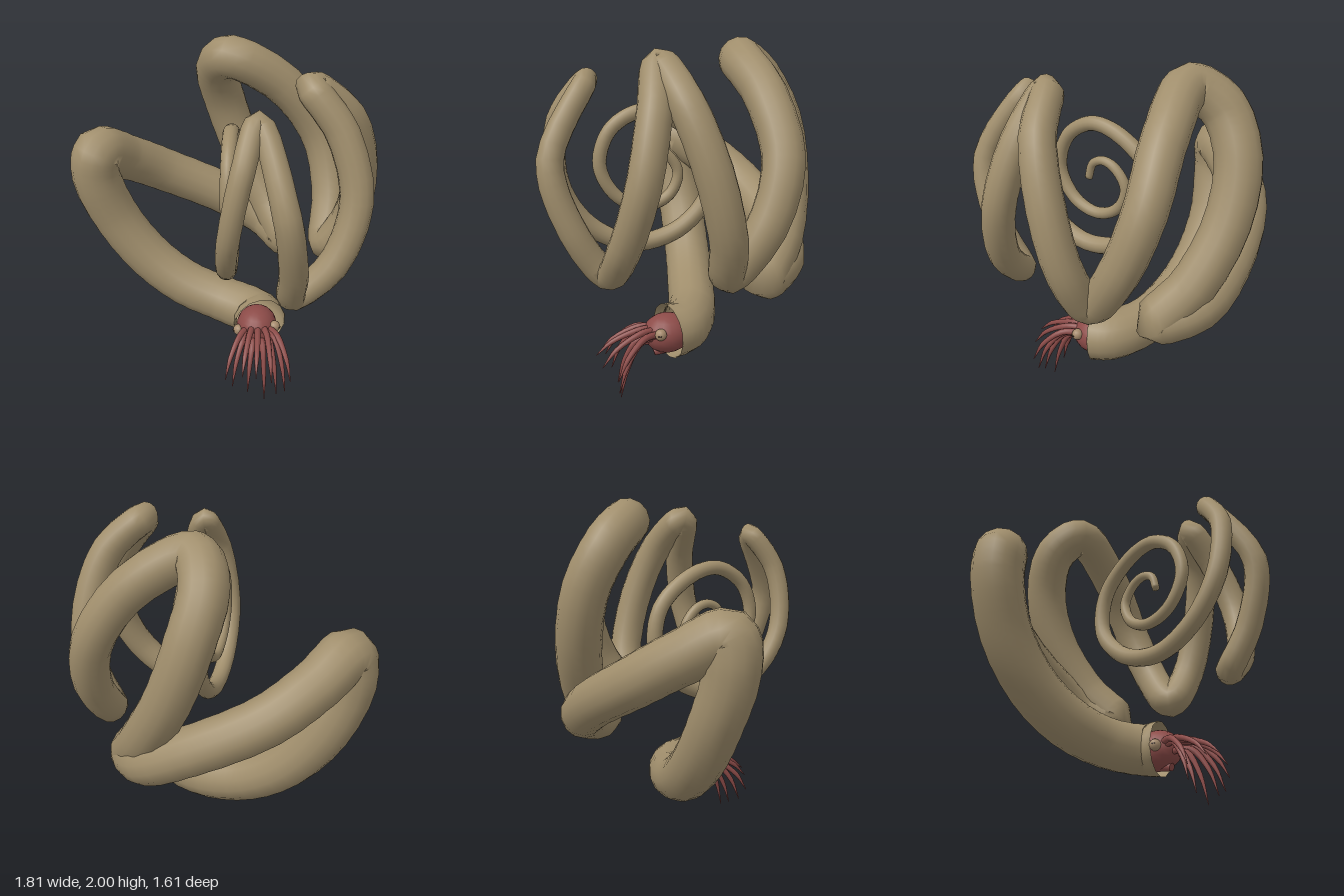
import * as THREE from 'three';

const mat = (name, color, side = THREE.FrontSide) => {
  const m = new THREE.MeshStandardMaterial({ color, side });
  m.name = name;
  return m;
};

// Tapering tube swept along points [x, y, z, radius]; rib adds faint growth ridges.
function taperedTube(points, steps, sides, rib = 0) {
  const curve = new THREE.CatmullRomCurve3(points.map(p => new THREE.Vector3(p[0], p[1], p[2])));
  const last = points.length - 1, count = last * steps;
  const pos = [], index = [];
  let normal = new THREE.Vector3(0, 1, 0);
  for (let i = 0; i <= count; i++) {
    const t = i / count, k = Math.min(Math.floor(t * last), last - 1);
    const c = curve.getPoint(t), tan = curve.getTangent(t);
    const r = THREE.MathUtils.lerp(points[k][3], points[k + 1][3], t * last - k)
      * (1 + (i % 2 ? -rib : rib));
    // Carry the previous normal along so the tube does not twist
    normal = normal.clone().addScaledVector(tan, -normal.dot(tan)).normalize();
    const side = tan.clone().cross(normal);
    for (let j = 0; j < sides; j++) {
      const a = j / sides * Math.PI * 2;
      const v = c.clone().addScaledVector(normal, r * Math.cos(a)).addScaledVector(side, r * Math.sin(a));
      pos.push(v.x, v.y, v.z);
      if (i < count) {
        const p = i * sides + j, q = i * sides + (j + 1) % sides;
        index.push(p, q, p + sides, q, q + sides, p + sides);
      }
    }
  }
  // Close the far end
  const end = curve.getPoint(1), tip = pos.length / 3;
  pos.push(end.x, end.y, end.z);
  for (let j = 0; j < sides; j++) index.push(count * sides + j, count * sides + (j + 1) % sides, tip);
  const g = new THREE.BufferGeometry();
  g.setAttribute('position', new THREE.Float32BufferAttribute(pos, 3));
  g.setIndex(index);
  g.computeVertexNormals();
  return g;
}

export function createModel() {
  const model = new THREE.Group();
  const shellMat = mat('shell tan', 0xa08e6c, THREE.DoubleSide);
  const fleshMat = mat('flesh red', 0x8c4b48);
  const eyeMat = mat('eye tan', 0xa58a6c);
  const pupilMat = mat('pupil dark', 0x4a3a30);
  const add = (name, geo, material, parent = model) => {
    const m = new THREE.Mesh(geo, material);
    m.name = name;
    parent.add(m);
    return m;
  };

  // Meandering whorls from the opening inwards: x, y, z, radius
  const whorls = [
    [0.26, 0.36, 0.085, 0.16], [0.23, 0.365, -0.01, 0.15], [0.03, 0.385, -0.12, 0.145],
    [-0.22, 0.46, -0.18, 0.145], [-0.45, 0.62, -0.22, 0.145], [-0.65, 0.88, -0.23, 0.145],
    [-0.76, 1.18, -0.2, 0.148], [-0.74, 1.33, -0.21, 0.15], [-0.6, 1.23, -0.39, 0.142],
    [-0.38, 1.08, -0.55, 0.14], [0, 0.89, -0.63, 0.138], [0.27, 0.75, -0.59, 0.135],
    [0.41, 0.69, -0.43, 0.13], [0.29, 0.88, -0.57, 0.13], [0.11, 1.2, -0.67, 0.13],
    [-0.01, 1.53, -0.66, 0.13], [-0.05, 1.77, -0.54, 0.13], [0.04, 1.875, -0.395, 0.125],
    [0.36, 1.7, -0.43, 0.12], [0.59, 1.38, -0.45, 0.115], [0.66, 1.05, -0.34, 0.11],
    [0.64, 0.805, -0.15, 0.1], [0.77, 1.03, -0.1, 0.1], [0.79, 1.38, -0.01, 0.1],
    [0.69, 1.7, 0.1, 0.095], [0.49, 1.875, 0.185, 0.085], [0.66, 1.65, 0.25, 0.09],
    [0.75, 1.3, 0.33, 0.09], [0.64, 0.96, 0.41, 0.087], [0.44, 0.79, 0.46, 0.08],
    [0.43, 1.03, 0.63, 0.077], [0.38, 1.4, 0.73, 0.072], [0.23, 1.79, 0.515, 0.062],
    [0.16, 1.58, 0.66, 0.062], [0.095, 1.22, 0.66, 0.06],
  ];
  // Flat spiral of the youngest whorls: y, z
  const spiral = [
    [0.97, 0.5], [0.85, 0.25], [0.91, -0.02], [1.12, -0.205], [1.38, -0.18], [1.56, 0.02],
    [1.6, 0.2], [1.5, 0.37], [1.3, 0.43], [1.12, 0.33], [1.06, 0.17], [1.12, 0.03],
    [1.25, -0.02], [1.36, 0.05], [1.39, 0.13], [1.36, 0.2], [1.27, 0.23],
  ].map(([y, z], i) => [0.075, y, z, 0.055 - i * 0.002]);
  add('shell', taperedTube([...whorls, ...spiral], 6, 14, 0.008), shellMat);

  // Head with eyes and funnel
  const head = new THREE.Group();
  head.name = 'head';
  model.add(head);
  const skull = add('headBody', new THREE.SphereGeometry(1, 16, 12), fleshMat, head);
  skull.scale.set(0.122, 0.115, 0.14);
  skull.position.set(0.24, 0.345, 0.085);
  for (const s of [-1, 1]) {
    const eye = new THREE.Group();
    eye.name = s > 0 ? 'leftEye' : 'rightEye';
    eye.position.set(0.24 + s * 0.108, 0.36 + s * 0.018, 0.148);
    eye.rotation.y = s * 1.2;
    head.add(eye);
    add('eyeball', new THREE.SphereGeometry(0.034, 12, 8), eyeMat, eye);
    const pupil = add('pupil', new THREE.BoxGeometry(0.022, 0.006, 0.004), pupilMat, eye);
    pupil.position.z = 0.033;
  }
  const funnel = add('funnel', new THREE.CylinderGeometry(0.022, 0.045, 0.12, 10), fleshMat, head);
  funnel.position.set(0.25, 0.255, 0.11);
  funnel.rotation.x = 1.9;

  // Arms arch forward from the face and droop to these tips
  const tips = [
    [0.07, 0.17, 0.42], [0.11, 0.1, 0.39], [0.2, 0.05, 0.37], [0.3, 0, 0.37], [0.37, 0.06, 0.39],
    [0.42, 0.09, 0.4], [0.45, 0.17, 0.41], [0.17, 0.23, 0.47], [0.25, 0.25, 0.5], [0.34, 0.21, 0.48],
  ];
  tips.forEach(([x, y, z], i) => {
    const upper = i > 6, dx = x - 0.25;
    const by = upper ? 0.38 : 0.29 + Math.abs(dx) * 0.4;
    add('arm' + (i + 1), taperedTube([
      [0.245 + dx * 0.35, by, 0.16, 0.021],
      [0.25 + dx * 0.6, by, 0.25, 0.019],
      [0.25 + dx * 0.87, by * 0.55 + y * 0.45, 0.25 + (z - 0.25) * 0.65, 0.014],
      [x, y, z, 0.002],
    ], 4, 8), fleshMat, head);
  });
  return model;
}
